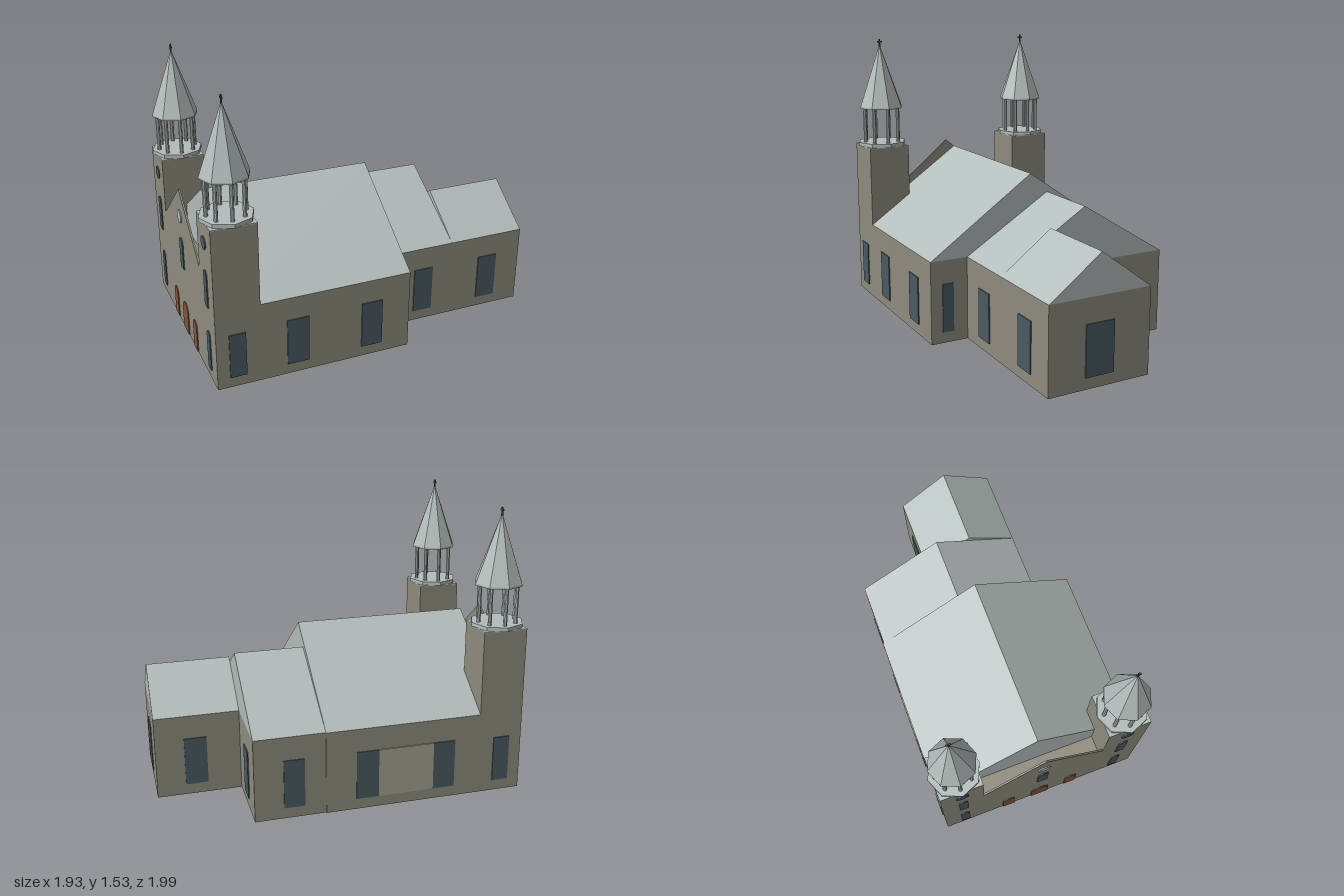
import * as THREE from 'three';

const mat = (name, color) => {
  const m = new THREE.MeshStandardMaterial({ color });
  m.name = name;
  return m;
};

export function createModel() {
  const wall = mat('stone wall', 0x8e8c7e);
  const roof = mat('pale grey roof', 0xb3bdbb);
  const glass = mat('dark window', 0x4a5a62);
  const wood = mat('brown door', 0x80563f);
  const iron = mat('dark iron', 0x454848);
  const panelStone = mat('light panel', 0xa3a192);

  const church = new THREE.Group();
  church.name = 'church';
  const T = 0.006; // thickness of painted plates

  const add = (parent, name, geo, material, x = 0, y = 0, z = 0) => {
    const m = new THREE.Mesh(geo, material);
    m.name = name;
    m.position.set(x, y, z);
    parent.add(m);
    return m;
  };
  // Box given by its extents
  const block = (parent, name, material, x0, x1, y0, y1, z0, z1) =>
    add(parent, name, new THREE.BoxGeometry(x1 - x0, y1 - y0, z1 - z0), material,
      (x0 + x1) / 2, (y0 + y1) / 2, (z0 + z1) / 2);
  const extrude = (shape, depth) =>
    new THREE.ExtrudeGeometry(shape, { depth, bevelEnabled: false, curveSegments: 10 });
  const polygon = (pts) => new THREE.Shape(pts.map(([x, y]) => new THREE.Vector2(x, y)));
  // Faceted cylinder standing on y
  const drum = (parent, name, material, rTop, rBottom, y0, y1, sides, x = 0, z = 0) => {
    const g = new THREE.CylinderGeometry(rTop, rBottom, y1 - y0, sides).toNonIndexed();
    g.computeVertexNormals();
    return add(parent, name, g, material, x, (y0 + y1) / 2, z);
  };

  const EAVE = 0.453, LEFT = -0.607, RIGHT = 0.577, FRONT = 0.808, MID = -0.015;
  const SIDE = 0.367; // right wall shared by the two rear blocks

  // Three walled sections, each with a gabled roof
  const sections = [
    ['nave', LEFT, RIGHT, -0.277, FRONT, 0.684, 0.862],
    ['transept', LEFT + 0.006, SIDE, -0.653, -0.277, -0.277, 0.752],
    ['chancel', -0.199, SIDE, -1.107, -0.653, -0.653, 0.663],
  ];
  for (const [name, x0, x1, z0, z1, roofZ, ridge] of sections) {
    block(church, name + 'Walls', wall, x0, x1, 0, EAVE, z0, z1);
    const tri = polygon([[x0, EAVE], [x1, EAVE], [(x0 + x1) / 2, ridge]]);
    add(church, name + 'Roof', extrude(tri, roofZ - z0), roof, 0, 0, z0);
  }

  // Thin gable wall between the towers
  const gable = polygon([[-0.352, EAVE], [0.352, EAVE], [0.352, 0.595], [0, 0.882], [-0.352, 0.595]]);
  add(church, 'frontGable', extrude(gable, 0.01), wall, MID, 0, FRONT - 0.01);

  // Round-headed and round plates on the front
  const arch = (name, material, x, y0, y1, w) => {
    const r = w / 2, s = new THREE.Shape();
    s.moveTo(-r, y0);
    s.lineTo(r, y0);
    s.lineTo(r, y1 - r);
    s.absarc(0, y1 - r, r, 0, Math.PI, false);
    s.lineTo(-r, y0);
    add(church, name, extrude(s, T), material, x, 0, FRONT);
  };
  const disc = (name, material, x, y, r) => {
    const s = new THREE.Shape();
    s.absarc(0, 0, r, 0, Math.PI * 2, false);
    add(church, name, extrude(s, T), material, x, y, FRONT);
  };
  arch('centreDoor', wood, MID - 0.003, 0.008, 0.187, 0.108);
  for (const s of [-1, 1]) arch('sideDoor', wood, MID - 0.003 + s * 0.197, 0.008, 0.187, 0.072);
  arch('gableWindow', glass, MID - 0.003, 0.41, 0.592, 0.062);
  disc('gableRoundWindow', roof, MID - 0.003, 0.722, 0.037);

  // Twin bell towers
  for (const s of [-1, 1]) {
    const x = MID + s * 0.472, z = FRONT - 0.12;
    const tower = new THREE.Group();
    tower.name = s < 0 ? 'rightTower' : 'leftTower';
    tower.position.set(x, 0, z);
    church.add(tower);
    block(tower, 'towerShaft', wall, -0.12, 0.12, EAVE, 0.906, -0.12, 0.12);
    block(tower, 'towerCap', roof, -0.12, 0.12, 0.906, 0.911, -0.12, 0.12);
    drum(tower, 'belfryFloor', roof, 0.142, 0.142, 0.911, 0.932, 8);
    for (let i = 0; i < 8; i++) {
      const a = (i * Math.PI) / 4;
      drum(tower, 'belfryColumn', roof, 0.011, 0.011, 0.932, 1.134, 8,
        0.103 * Math.sin(a), 0.103 * Math.cos(a));
    }
    drum(tower, 'spireRim', roof, 0.129, 0.129, 1.132, 1.142, 8);
    drum(tower, 'spire', roof, 0.003, 0.129, 1.142, 1.495, 8);
    block(tower, 'crossPost', iron, -0.004, 0.004, 1.48, 1.534, -0.004, 0.004);
    block(tower, 'crossBar', iron, -0.014, 0.014, 1.515, 1.523, -0.004, 0.004);
    arch('towerLowWindow', glass, x, 0.06, 0.285, 0.052);
    arch('towerMidWindow', glass, x, 0.435, 0.64, 0.052);
    disc('towerRoundWindow', glass, x, 0.793, 0.036);
  }

  // Tall windows on the long sides: wall x, outward sign, centre z, width, top
  const sideWindows = [
    [RIGHT, 1, 0.695, 0.09, 0.312], [RIGHT, 1, 0.367, 0.12, 0.325], [RIGHT, 1, -0.055, 0.12, 0.325],
    [SIDE, 1, -0.476, 0.115, 0.325], [SIDE, 1, -0.893, 0.12, 0.325],
    [LEFT, -1, 0.695, 0.09, 0.312], [LEFT, -1, 0.367, 0.12, 0.325], [LEFT, -1, -0.055, 0.12, 0.325],
    [LEFT + 0.006, -1, -0.445, 0.11, 0.325], [-0.199, -1, -0.893, 0.12, 0.325],
  ];
  for (const [x, s, z, w, top] of sideWindows)
    block(church, 'sideWindow', glass, x - T / 2 + s * T / 2, x + T / 2 + s * T / 2, 0.06, top, z - w / 2, z + w / 2);
  block(church, 'sidePanel', panelStone, LEFT - T, LEFT, 0.06, 0.325, 0.005, 0.307);

  // Rear windows: centre x, wall z, width
  for (const [x, z, w] of [[0.48, -0.277, 0.062], [-0.4, -0.653, 0.11], [0.087, -1.107, 0.158]])
    block(church, 'rearWindow', glass, x - w / 2, x + w / 2, 0.06, 0.325, z - T, z);

  // The whole building stands turned on its plot
  church.rotation.y = -0.6487;
  const model = new THREE.Group();
  model.name = 'model';
  model.add(church);
  return model;
}
